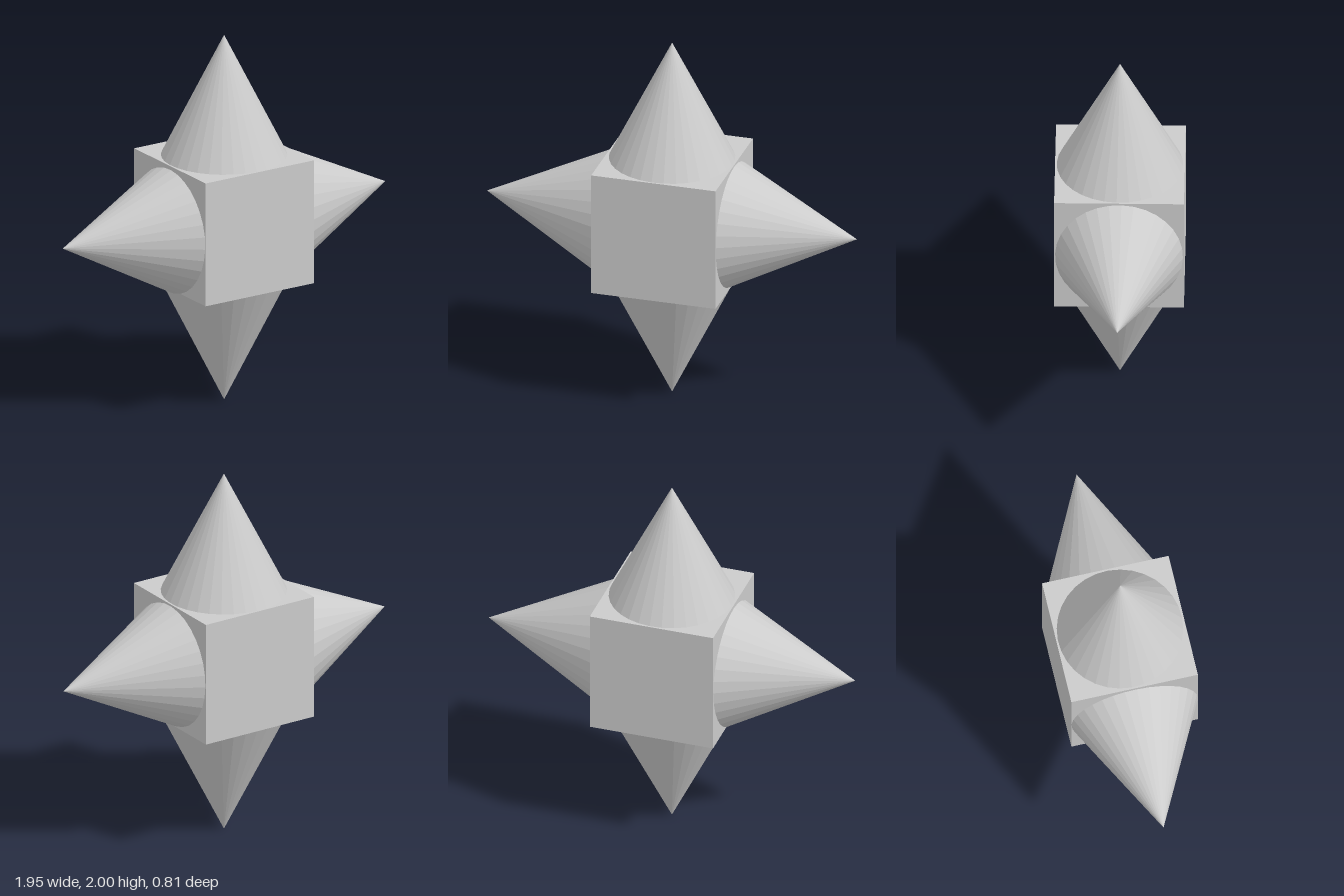
import * as THREE from 'three';

export function createModel() {
  const model = new THREE.Group();
  model.name = 'spikedCube';
  const material = new THREE.MeshStandardMaterial({ color: 0xcccccc, flatShading: true });
  const size = 0.674, centerY = 1.007, turn = THREE.MathUtils.degToRad(13.4);

  // Central cube, turned about the vertical axis
  const cube = new THREE.Mesh(new THREE.BoxGeometry(size, size, size), material);
  cube.name = 'cube';
  cube.position.y = centerY;
  cube.rotation.y = turn;
  model.add(cube);

  // Faceted cone running from its base centre to its tip
  const up = new THREE.Vector3(0, 1, 0);
  function addSpike(name, base, tip, radius = 0.333) {
    const axis = tip.clone().sub(base);
    const spike = new THREE.Mesh(new THREE.ConeGeometry(radius, axis.length(), 32), material);
    spike.name = name;
    spike.position.copy(base).add(tip).multiplyScalar(0.5);
    spike.quaternion.setFromUnitVectors(up, axis.normalize());
    model.add(spike);
  }

  // Point at a distance along the cube's turned sideways axis
  const along = (d, y) => new THREE.Vector3(d * Math.cos(turn), y, -d * Math.sin(turn));

  addSpike('topSpike', new THREE.Vector3(0, 1.335, 0), new THREE.Vector3(0, 2, 0));
  addSpike('bottomSpike', new THREE.Vector3(0, 0.67, 0), new THREE.Vector3(0, 0, 0));
  addSpike('leftSpike', along(0.335, 1.003), along(1.002, 1.008));
  addSpike('rightSpike', along(-0.338, 0.993), along(-1.003, 1.016), 0.336);

  return model;
}
